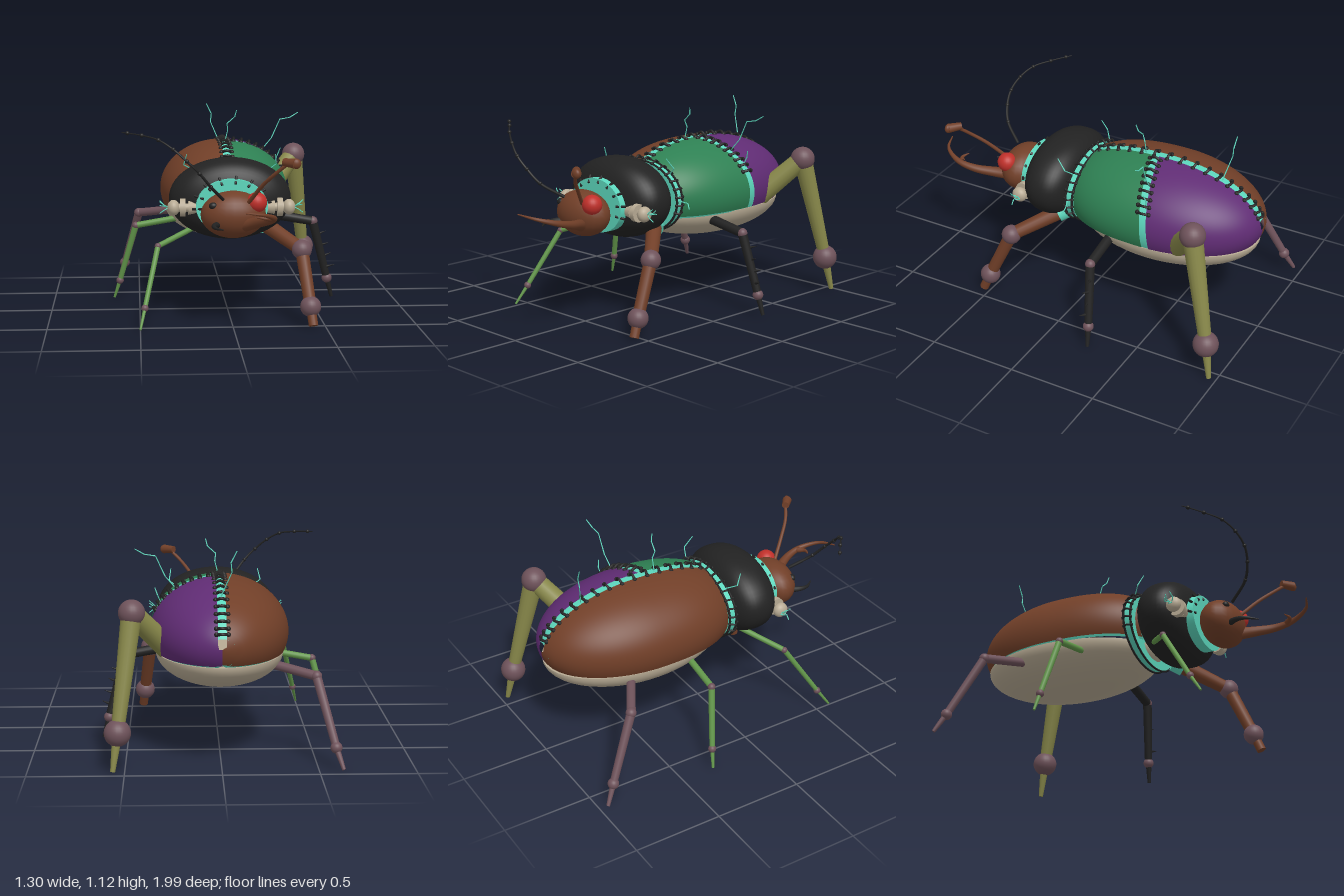
import * as THREE from 'three';

const mat = (name, color, extra = {}) => {
  const m = new THREE.MeshStandardMaterial({ color, ...extra });
  m.name = name;
  return m;
};
const V = (a) => new THREE.Vector3(...a);

export function createModel() {
  const model = new THREE.Group();
  model.name = 'patchworkBeetle';
  const brown = mat('brown', 0x713f28), green = mat('green', 0x2e8053), purple = mat('purple', 0x602c74);
  const black = mat('black', 0x222222), teal = mat('teal', 0x5cd6bc), bone = mat('bone', 0xb8ab94);
  const mauve = mat('mauve', 0x6e525a), red = mat('red', 0xc0302a), olive = mat('olive', 0x88884a);
  const leaf = mat('leafGreen', 0x62964a);

  // ---- helpers ----
  const add = (name, geo, material, pos = [0, 0, 0], parent = model) => {
    const m = new THREE.Mesh(geo, material);
    m.name = name;
    m.position.set(...pos);
    parent.add(m);
    return m;
  };
  const group = (name) => {
    const g = new THREE.Group();
    g.name = name;
    model.add(g);
    return g;
  };
  const ball = (name, p, r, m, parent, scale = [1, 1, 1]) => {
    const b = add(name, new THREE.SphereGeometry(r, 24, 16), m, p, parent);
    b.scale.set(...scale);
    return b;
  };
  const limb = (name, a, b, ra, rb, m, parent) => {
    const d = V(b).sub(V(a));
    const c = add(name, new THREE.CylinderGeometry(rb, ra, d.length(), 16), m, V(a).addScaledVector(d, 0.5).toArray(), parent);
    c.quaternion.setFromUnitVectors(new THREE.Vector3(0, 1, 0), d.normalize());
    return c;
  };
  // Curved tube whose radius runs from r0 to r1
  const horn = (name, pts, r0, r1, m, parent, segs = 24, sides = 10) => {
    const curve = new THREE.CatmullRomCurve3(pts.map(V));
    const geo = new THREE.TubeGeometry(curve, segs, 1, sides);
    const p = geo.attributes.position, v = new THREE.Vector3();
    for (let i = 0; i < p.count; i++) {
      const t = Math.floor(i / (sides + 1)) / segs, c = curve.getPointAt(t);
      v.fromBufferAttribute(p, i).sub(c).multiplyScalar(r0 + (r1 - r0) * t).add(c);
      p.setXYZ(i, v.x, v.y, v.z);
    }
    return add(name, geo, m, [0, 0, 0], parent);
  };
  const wire = (pts, parent) => {
    for (let i = 1; i < pts.length; i++) limb('looseThread', pts[i - 1], pts[i], 0.0035, 0.0025, teal, parent);
  };

  // ---- wing cases: patches of one egg-shaped surface ----
  const ZC = -0.42, RZ = 0.57, YC = 0.65, RX = 0.372, RY = 0.285, FLOOR = 0.55;
  const size = (z) => {
    const t = Math.min(1, Math.abs(z - ZC) / RZ), e = z > ZC ? 2.5 : 2;
    return Math.max(1e-4, (1 - t ** e) ** (1 / e));
  };
  // q runs from the middle seam (0) down to the rim (1)
  const shell = (z, q, side, gap = 0, k = 1, floor = FLOOR) => {
    const s = size(z) * k;
    const top = Math.acos(Math.min(1, gap / (RX * s)));
    const low = Math.asin(Math.max(-1, (floor - YC) / (RY * s)));
    const a = top + (low - top) * q;
    return [side * RX * s * Math.cos(a), YC + RY * s * Math.sin(a), z];
  };
  const patch = (name, side, front, back, gap, k, floor, m) => {
    const N = 36, pos = [], idx = [];
    for (let i = 0; i <= N; i++) for (let j = 0; j <= N; j++) {
      const q = j / N, f = Math.acos((front(q) - ZC) / RZ), b = Math.acos(Math.max(-1, (back(q) - ZC) / RZ));
      pos.push(...shell(ZC + RZ * Math.cos(f + (b - f) * i / N), q, side, gap, k, floor));
      if (i < N && j < N) {
        const a = i * (N + 1) + j, c = a + N + 1;
        idx.push(...(side > 0 ? [a, a + 1, c, a + 1, c + 1, c] : [a, c, a + 1, a + 1, c, c + 1]));
      }
    }
    const geo = new THREE.BufferGeometry();
    geo.setAttribute('position', new THREE.Float32BufferAttribute(pos, 3));
    geo.setIndex(idx);
    geo.computeVertexNormals();
    add(name, geo, m);
  };
  const seam = (q) => -0.35 - 0.11 * Math.sin(q * Math.PI / 2);
  const nose = () => 0.09, tail = () => ZC - RZ;
  for (const s of [-1, 1]) patch('wingLining', s, nose, () => -0.98, 0, 0.98, 0.545, teal);
  patch('rightWingCase', -1, nose, tail, 0.022, 1, 0.555, brown);
  patch('leftWingCaseFront', 1, nose, (q) => seam(q) + 0.02, 0.022, 1, 0.555, green);
  patch('leftWingCaseRear', 1, (q) => seam(q) - 0.02, tail, 0.022, 1, 0.555, purple);

  // Belly
  const belly = add('belly', new THREE.SphereGeometry(1, 48, 16, 0, Math.PI * 2, Math.PI / 2, Math.PI / 2), bone, [0, FLOOR, -0.43]);
  belly.scale.set(0.345, 0.18, 0.535);
  const lid = add('bellyTop', new THREE.CircleGeometry(1, 48).rotateX(-Math.PI / 2), bone, [0, FLOOR, -0.43]);
  lid.scale.set(0.345, 1, 0.535);

  // ---- stitches ----
  const stitches = group('stitches');
  const stitch = (a, b, centre, r = 0.008) => {
    const mid = V(a).add(V(b)).multiplyScalar(0.5);
    const out = mid.clone().sub(V(centre)).normalize();
    mid.addScaledVector(out, 0.018);
    add('stitch', new THREE.TubeGeometry(new THREE.CatmullRomCurve3([V(a), mid, V(b)]), 6, r, 6), black, [0, 0, 0], stitches);
    for (const p of [a, b]) add('stitchKnot', new THREE.SphereGeometry(r * 1.6, 8, 6), black, p, stitches);
  };
  for (let i = 0; i < 17; i++) {
    const z = ZC + 0.555 * Math.cos(0.72 + i * 0.142);
    stitch(shell(z, 0, -1, 0.03), shell(z, 0, 1, 0.03), [0, 0.6, ZC]);
  }
  for (let i = 0; i < 9; i++) {
    const q = 0.08 + i * 0.065;
    stitch(shell(seam(q) + 0.033, q, 1), shell(seam(q) - 0.033, q, 1), [0, 0.6, ZC]);
  }

  // ---- thorax: rounded drum ----
  const prof = [];
  for (let i = 0; i <= 28; i++) {
    const a = -Math.PI / 2 + Math.PI * i / 28, c = Math.max(0, Math.cos(a)), s = Math.sin(a);
    prof.push(new THREE.Vector2(c ** 0.75, Math.sign(s) * Math.abs(s) ** 0.85));
  }
  const thorax = add('thorax', new THREE.LatheGeometry(prof, 56).rotateX(Math.PI / 2), black, [0, 0.67, 0.225]);
  thorax.scale.set(0.337, 0.225, 0.165);

  // Stitched collars behind and in front of the thorax
  const collar = (name, y, z, rx, ry, depth) => {
    const c = add(name, new THREE.CylinderGeometry(1, 1, 1, 48).rotateX(Math.PI / 2), teal, [0, y, z]);
    c.scale.set(rx, ry, depth);
  };
  collar('rearCollar', 0.65, 0.052, 0.285, 0.2, 0.045);
  collar('neck', 0.645, 0.385, 0.195, 0.15, 0.055);
  for (const z of [0.03, 0.072]) {
    const cord = add('collarCord', new THREE.TorusGeometry(1, 0.03, 6, 48), black, [0, 0.65, z]);
    cord.scale.set(0.288, 0.203, 0.2);
  }
  for (let i = 0; i < 18; i++) {
    const a = -0.3 + i * (Math.PI + 0.6) / 17, c = Math.cos(a), s = Math.sin(a);
    stitch([0.29 * c, 0.65 + 0.205 * s, 0.028], [0.29 * c, 0.65 + 0.205 * s, 0.076], [0, 0.65, 0.05], 0.006);
    if (i % 2 === 0) limb('neckStitch', [0.165 * c, 0.645 + 0.125 * s, 0.416], [0.215 * c, 0.645 + 0.165 * s, 0.39], 0.007, 0.007, black, stitches);
  }

  // Bone pegs on both sides of the thorax, with frayed threads
  for (const s of [-1, 1]) {
    const peg = group(s > 0 ? 'leftPeg' : 'rightPeg');
    const at = (x) => [s * x, 0.635, 0.35];
    limb('pegShaft', at(0.17), at(0.34), 0.026, 0.022, bone, peg);
    limb('pegCone', at(0.18), at(0.235), 0.03, 0.04, bone, peg);
    limb('pegDisc', at(0.25), at(0.28), 0.05, 0.05, bone, peg);
    ball('pegEnd', at(0.315), 0.043, bone, peg, [0.8, 1, 1]);
    for (const [dy, dz] of [[0.04, 0.02], [0.01, -0.03], [-0.03, 0.01], [0.03, -0.02]])
      wire([at(0.34), [s * 0.365, 0.635 + dy * 0.4, 0.35 + dz], [s * 0.39, 0.635 + dy, 0.35 + dz * 0.6]], peg);
  }

  // ---- head ----
  const head = group('head');
  ball('skull', [0, 0.618, 0.505], 1, brown, head, [0.175, 0.127, 0.118]);
  ball('leftEye', [0.122, 0.688, 0.552], 0.055, red, head);
  ball('rightEye', [-0.11, 0.673, 0.572], 0.024, black, head, [1, 0.8, 0.8]);
  horn('leftMandible', [[0.06, 0.57, 0.58], [0.12, 0.595, 0.65], [0.175, 0.62, 0.75], [0.185, 0.645, 0.85], [0.13, 0.675, 0.95], [0.03, 0.692, 0.99]], 0.034, 0.003, brown, head, 32, 12);
  horn('mandibleTooth', [[0.18, 0.64, 0.82], [0.14, 0.645, 0.85], [0.09, 0.65, 0.835]], 0.018, 0.002, brown, head, 8);
  horn('rightMandible', [[-0.08, 0.575, 0.57], [-0.11, 0.575, 0.64], [-0.105, 0.572, 0.69], [-0.065, 0.57, 0.745]], 0.02, 0.003, black, head, 16);

  // Antennae
  horn('leftAntenna', [[0.075, 0.69, 0.58], [0.14, 0.79, 0.67], [0.2, 0.86, 0.74], [0.265, 0.92, 0.785]], 0.011, 0.009, brown, head);
  limb('antennaClub', [0.245, 0.925, 0.77], [0.3, 0.922, 0.82], 0.021, 0.027, brown, head);
  ball('antennaClubTip', [0.3, 0.922, 0.82], 0.027, brown, head, [1, 1, 0.7]);
  const feeler = [[-0.06, 0.71, 0.59], [-0.13, 0.79, 0.7], [-0.19, 0.865, 0.74], [-0.255, 0.93, 0.752], [-0.325, 0.99, 0.73], [-0.4, 1.035, 0.685], [-0.485, 1.053, 0.615], [-0.56, 1.06, 0.555], [-0.59, 1.062, 0.53]];
  horn('rightAntenna', feeler, 0.009, 0.003, black, head, 48, 8);
  feeler.slice(1, -1).forEach((p) => ball('antennaBead', p, 0.011, black, head));

  // ---- legs: hip, knee, ankle, toe, segment radii, joint radii ----
  const leg = (name, m, [hip, knee, ankle, toe], r, joints, toeMat = m) => {
    const g = group(name);
    limb('upperLeg', hip, knee, r[0], r[1], m, g);
    limb('lowerLeg', knee, ankle, r[1], r[2], m, g);
    limb('foot', ankle, toe, r[2] * 0.8, r[3], toeMat, g);
    ball('knee', knee, joints[0], mauve, g);
    ball('ankle', ankle, joints[1], mauve, g);
    return g;
  };
  const frontLeg = leg('leftFrontLeg', brown, [[0.17, 0.53, 0.13], [0.385, 0.4, 0.37], [0.42, 0.11, 0.5], [0.432, 0.012, 0.54]], [0.045, 0.037, 0.033, 0.026], [0.055, 0.057]);
  limb('hipCuff', [0.165, 0.533, 0.125], [0.205, 0.508, 0.17], 0.054, 0.054, teal, frontLeg);
  const midLeg = leg('leftMiddleLeg', black, [[0.24, 0.52, -0.21], [0.515, 0.47, -0.215], [0.605, 0.125, -0.252], [0.635, 0.012, -0.262]], [0.028, 0.026, 0.022, 0.01], [0.028, 0.03]);
  leg('leftHindLeg', olive, [[0.27, 0.58, -0.62], [0.46, 0.805, -0.79], [0.535, 0.207, -0.925], [0.56, 0.012, -0.962]], [0.062, 0.055, 0.034, 0.013], [0.07, 0.07]);
  leg('rightFrontLeg', leaf, [[-0.17, 0.51, 0.16], [-0.4, 0.42, 0.325], [-0.475, 0.115, 0.515], [-0.5, 0.012, 0.585]], [0.016, 0.015, 0.013, 0.006], [0.018, 0.02]);
  leg('rightMiddleLeg', leaf, [[-0.24, 0.5, -0.23], [-0.52, 0.45, -0.24], [-0.615, 0.115, -0.295], [-0.648, 0.012, -0.31]], [0.018, 0.018, 0.015, 0.007], [0.021, 0.022]);
  leg('rightHindLeg', mauve, [[-0.24, 0.5, -0.58], [-0.5, 0.455, -0.73], [-0.59, 0.115, -0.9], [-0.625, 0.012, -0.955]], [0.025, 0.025, 0.021, 0.01], [0.029, 0.031]);

  // Thorns on the black leg
  for (let i = 0; i < 4; i++) {
    const y = 0.39 - i * 0.065, x = 0.53 + (0.47 - y) * 0.26;
    limb('thorn', [x, y, -0.235], [x + 0.045, y + 0.015, -0.235 + (i % 2 ? 0.015 : -0.015)], 0.009, 0.001, black, midLeg);
  }

  // ---- loose threads sprouting from the seams ----
  const threads = group('looseThreads');
  [
    [[0, 0.88, -0.74], [-0.055, 1.01, -0.77], [-0.05, 1.06, -0.775], [-0.08, 1.12, -0.78]],
    [[0, 0.92, -0.28], [0.02, 1.0, -0.28], [0.015, 1.04, -0.265], [0.06, 1.08, -0.26], [0.07, 1.12, -0.25]],
    [[0.23, 0.87, -0.42], [0.29, 0.94, -0.43], [0.34, 1.05, -0.435], [0.4, 1.06, -0.44], [0.45, 1.09, -0.45]],
    [[0.3, 0.77, -0.44], [0.33, 0.84, -0.45], [0.345, 0.88, -0.44]],
    [[-0.2, 0.81, 0.06], [-0.25, 0.84, 0.1], [-0.235, 0.9, 0.13]],
    [[0.22, 0.8, 0.06], [0.27, 0.84, 0.08], [0.26, 0.9, 0.13]],
    [[0.28, 0.66, 0.06], [0.34, 0.65, 0.04], [0.36, 0.62, 0.05]],
  ].forEach((p) => wire(p, threads));

  return model;
}
